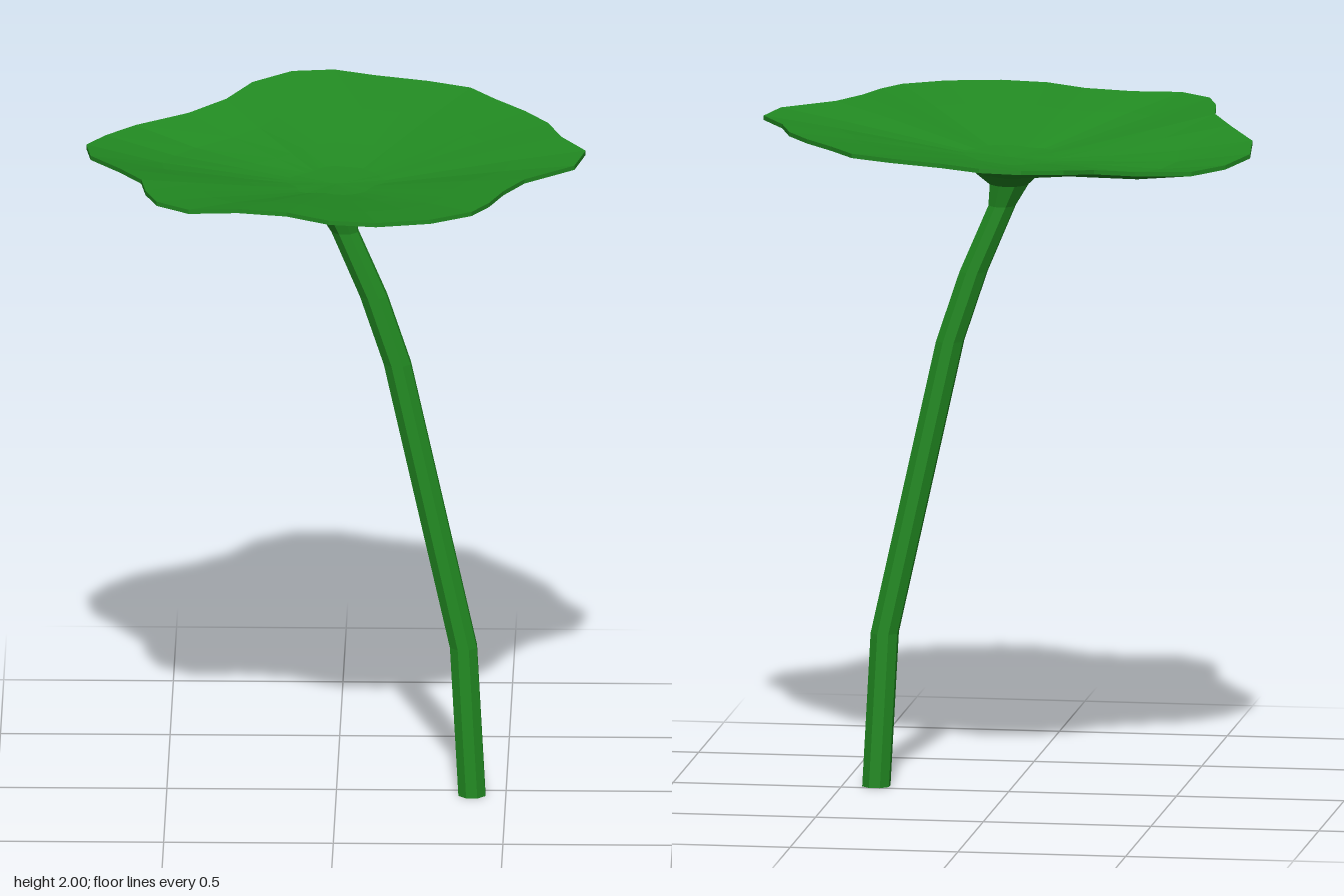
import * as THREE from 'three';

// Skin a list of equal-length closed rings, ordered so faces point outwards.
function loft(rings) {
  const n = rings[0].length;
  const index = [];
  for (let k = 0; k < rings.length - 1; k++) {
    for (let i = 0; i < n; i++) {
      const j = (i + 1) % n;
      const a = k * n + i, b = k * n + j, c = a + n, d = b + n;
      index.push(a, b, c, b, d, c);
    }
  }
  const geometry = new THREE.BufferGeometry();
  geometry.setAttribute('position', new THREE.Float32BufferAttribute(rings.flat(2), 3));
  geometry.setIndex(index);
  const flat = geometry.toNonIndexed();
  flat.computeVertexNormals();
  return flat;
}

// Wavy leaf edge as x, z pairs
const outline = [
  [0.735, 0.03], [0.705, 0.17], [0.56, 0.3], [0.5, 0.41], [0.46, 0.52], [0.41, 0.605], [0.29, 0.68], [0.13, 0.715],
  [-0.01, 0.695], [-0.135, 0.62], [-0.28, 0.59], [-0.425, 0.6], [-0.52, 0.525], [-0.555, 0.42], [-0.57, 0.3], [-0.635, 0.17],
  [-0.725, 0.01], [-0.74, -0.135], [-0.685, -0.26], [-0.6, -0.365], [-0.445, -0.45], [-0.335, -0.53], [-0.26, -0.64], [-0.145, -0.715],
  [-0.02, -0.72], [0.1, -0.665], [0.26, -0.61], [0.385, -0.55], [0.46, -0.445], [0.55, -0.335], [0.62, -0.225], [0.66, -0.1],
];
const centre = [0, 0.037];

// The leaf sags towards its back right side.
const sag = (x, z) => 0.065 * Math.exp(-((x + 0.55) ** 2 + (z + 0.28) ** 2) / 0.16);

function leafRing([f, y]) {
  return outline.map(([ox, oz]) => {
    const x = centre[0] + (ox - centre[0]) * f;
    const z = centre[1] + (oz - centre[1]) * f;
    return [x, y - sag(x, z), z];
  });
}

// Stem ring: centre x, height, radius
function stemRing([x, y, r]) {
  return Array.from({ length: 8 }, (_, i) => {
    const a = ((i + 0.5) / 8) * Math.PI * 2;
    return [x + r * Math.cos(a), y, centre[1] + r * Math.sin(a)];
  });
}

export function createModel() {
  const group = new THREE.Group();
  const green = new THREE.MeshStandardMaterial({ color: 0x228b22, flatShading: true });
  green.name = 'leaf green';

  // Shallow dished leaf: top from centre to rim, then underside back to centre
  const leafProfile = [
    [0, 1.9], [0.2, 1.908], [0.4, 1.932], [0.7, 1.968], [1, 2.0],
    [1, 1.987], [0.7, 1.948], [0.4, 1.912], [0.14, 1.855], [0, 1.85],
  ];
  const leaf = new THREE.Mesh(loft(leafProfile.map(leafRing)), green);
  leaf.name = 'leaf';

  // Curved stem flaring into the leaf
  const stemPath = [
    [0.005, 1.87, 0.12], [0.005, 1.85, 0.1], [0.003, 1.815, 0.06], [0.025, 1.75, 0.042], [0.11, 1.55, 0.043],
    [0.18, 1.34, 0.043], [0.375, 0.46, 0.043], [0.4, 0, 0.043], [0.4, 0, 0],
  ];
  const stem = new THREE.Mesh(loft(stemPath.map(stemRing)), green);
  stem.name = 'stem';

  group.add(leaf, stem);
  return group;
}
